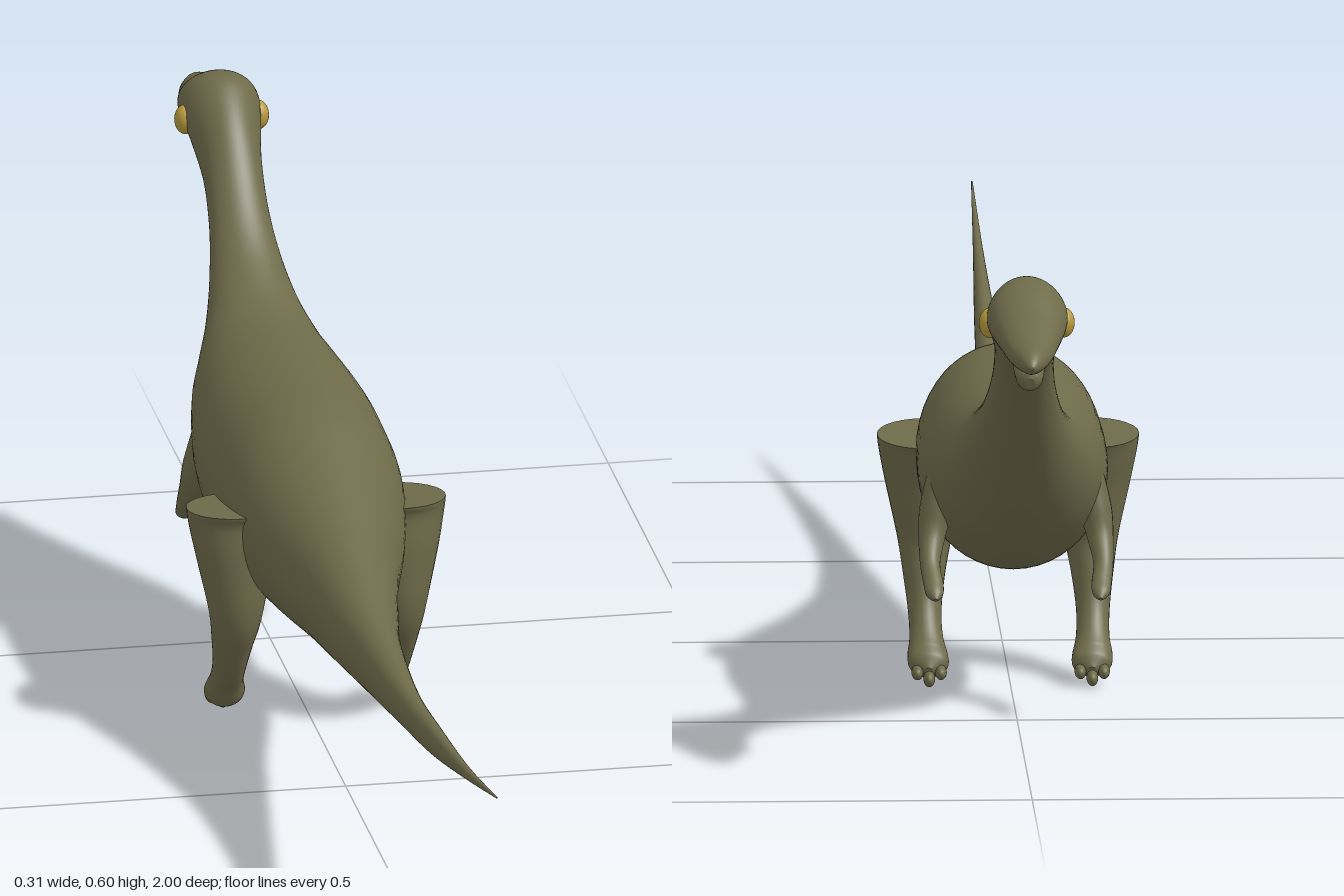
import * as THREE from 'three';

const skin = new THREE.MeshStandardMaterial({ color: 0x6e6b4a });
skin.name = 'olive skin';
const amber = new THREE.MeshStandardMaterial({ color: 0xb89a3c });
amber.name = 'amber eye';

// Smooth interpolation of one column of the station table
function sample(rows, k, t) {
  const f = t * (rows.length - 1);
  const i = Math.min(Math.floor(f), rows.length - 2);
  const u = f - i;
  const at = (n) => rows[Math.max(0, Math.min(rows.length - 1, n))][k];
  const [a, b, c, d] = [at(i - 1), at(i), at(i + 1), at(i + 2)];
  return b + 0.5 * u * (c - a + u * (2 * a - 5 * b + 4 * c - d + u * (3 * (b - c) + d - a)));
}

// Skin of elliptical rings along stations [x, y, z, half width, half depth].
// With upright = true the rings stay vertical, otherwise they follow the path.
function loft(rows, steps, sides, upright) {
  const pos = [];
  const index = [];
  const X = new THREE.Vector3(1, 0, 0);
  const centre = (t) => new THREE.Vector3(sample(rows, 0, t), sample(rows, 1, t), sample(rows, 2, t));
  for (let i = 0; i <= steps; i++) {
    const t = i / steps;
    const c = centre(t);
    const T = upright
      ? new THREE.Vector3(0, 0, -1)
      : centre(Math.min(1, t + 0.01)).sub(centre(Math.max(0, t - 0.01)));
    const N = T.cross(X).normalize();
    const rx = Math.max(0.0005, sample(rows, 3, t));
    const rn = Math.max(0.0005, sample(rows, 4, t));
    for (let j = 0; j < sides; j++) {
      const a = (j / sides) * Math.PI * 2;
      const p = c.clone().addScaledVector(X, Math.cos(a) * rx).addScaledVector(N, Math.sin(a) * rn);
      pos.push(p.x, p.y, p.z);
      if (i < steps) {
        const k = i * sides + j;
        const n = i * sides + ((j + 1) % sides);
        index.push(k, n, k + sides, n, n + sides, k + sides);
      }
    }
  }
  // flat end caps with their own corners
  for (const end of [0, 1]) {
    const base = pos.length / 3;
    const c = centre(end);
    const from = end * steps * sides * 3;
    pos.push(...pos.slice(from, from + sides * 3), c.x, c.y, c.z);
    for (let j = 0; j < sides; j++) {
      const a = base + j;
      const b = base + ((j + 1) % sides);
      index.push(base + sides, end ? a : b, end ? b : a);
    }
  }
  const g = new THREE.BufferGeometry();
  g.setAttribute('position', new THREE.Float32BufferAttribute(pos, 3));
  g.setIndex(index);
  g.computeVertexNormals();
  return g;
}

function add(parent, name, geometry, material) {
  const m = new THREE.Mesh(geometry, material);
  m.name = name;
  parent.add(m);
  return m;
}

function ellipsoid(parent, name, material, p, r) {
  const m = add(parent, name, new THREE.SphereGeometry(1, 24, 16), material);
  m.position.set(...p);
  m.scale.set(...r);
  return m;
}

export function createModel() {
  const model = new THREE.Group();
  model.name = 'longNeckedDinosaur';

  // Tail, trunk, neck and head in one skin: [z, top, bottom, half width]
  const profile = [
    [1, 0.363, 0.361, 0.001], [0.8, 0.326, 0.311, 0.006], [0.6, 0.3, 0.265, 0.012],
    [0.4, 0.279, 0.23, 0.018], [0.2, 0.282, 0.198, 0.032], [0.1, 0.3, 0.185, 0.046],
    [0, 0.33, 0.174, 0.064], [-0.1, 0.366, 0.163, 0.09], [-0.2, 0.4, 0.154, 0.108],
    [-0.3, 0.405, 0.151, 0.113], [-0.4, 0.403, 0.164, 0.111], [-0.5, 0.4, 0.205, 0.095],
    [-0.55, 0.405, 0.243, 0.079], [-0.6, 0.425, 0.292, 0.06], [-0.65, 0.455, 0.347, 0.046],
    [-0.7, 0.5, 0.402, 0.037], [-0.75, 0.558, 0.45, 0.036], [-0.8, 0.594, 0.49, 0.044],
    [-0.83, 0.597, 0.505, 0.048], [-0.86, 0.588, 0.51, 0.046], [-0.9, 0.569, 0.511, 0.038],
    [-0.95, 0.55, 0.51, 0.027], [-0.98, 0.54, 0.511, 0.016], [-0.995, 0.531, 0.515, 0.008],
    [-1, 0.524, 0.52, 0.002],
  ];
  const body = profile.map(([z, top, low, w]) => [0, (top + low) / 2, z, w, (top - low) / 2]);
  add(model, 'body', loft(body, 144, 48, true), skin);

  // Short lower jaw under the snout
  add(model, 'lowerJaw', loft([
    [0, 0.525, -0.84, 0.018, 0.012], [0, 0.511, -0.87, 0.019, 0.014],
    [0, 0.499, -0.9, 0.018, 0.015], [0, 0.492, -0.92, 0.014, 0.014],
    [0, 0.49, -0.926, 0.006, 0.007],
  ], 20, 20), skin);

  for (const s of [1, -1]) {
    const side = s > 0 ? 'left' : 'right';

    ellipsoid(model, side + 'Eye', amber, [s * 0.044, 0.543, -0.82], [0.013, 0.018, 0.015]);

    // Hind leg with flat, slightly flared hip
    const leg = new THREE.Group();
    leg.name = side + 'HindLeg';
    model.add(leg);
    add(leg, 'leg', loft([
      [s * 0.098, 0.289, -0.197, 0.058, 0.062], [s * 0.1, 0.272, -0.195, 0.054, 0.054],
      [s * 0.1, 0.23, -0.188, 0.046, 0.048], [s * 0.099, 0.165, -0.185, 0.033, 0.04],
      [s * 0.1, 0.12, -0.201, 0.025, 0.032], [s * 0.1, 0.08, -0.222, 0.02, 0.025],
      [s * 0.099, 0.052, -0.245, 0.02, 0.021], [s * 0.098, 0.033, -0.262, 0.024, 0.022],
      [s * 0.097, 0.024, -0.28, 0.022, 0.017], [s * 0.097, 0.02, -0.292, 0.004, 0.004],
    ], 54, 28), skin);
    for (const t of [-1, 0, 1]) {
      ellipsoid(leg, 'toe', skin, [s * 0.097 + t * 0.014, t ? 0.017 : 0.01, t ? -0.285 : -0.288],
        [0.007, t ? 0.009 : 0.01, 0.016]);
    }

    // Small arm reaching forward
    add(model, side + 'Arm', loft([
      [s * 0.088, 0.3, -0.44, 0.014, 0.024], [s * 0.094, 0.25, -0.447, 0.02, 0.026],
      [s * 0.1, 0.215, -0.462, 0.016, 0.018], [s * 0.103, 0.187, -0.486, 0.012, 0.013],
      [s * 0.1, 0.168, -0.51, 0.012, 0.011], [s * 0.099, 0.158, -0.527, 0.01, 0.008],
      [s * 0.098, 0.153, -0.537, 0.002, 0.002],
    ], 36, 20), skin);
  }
  return model;
}
